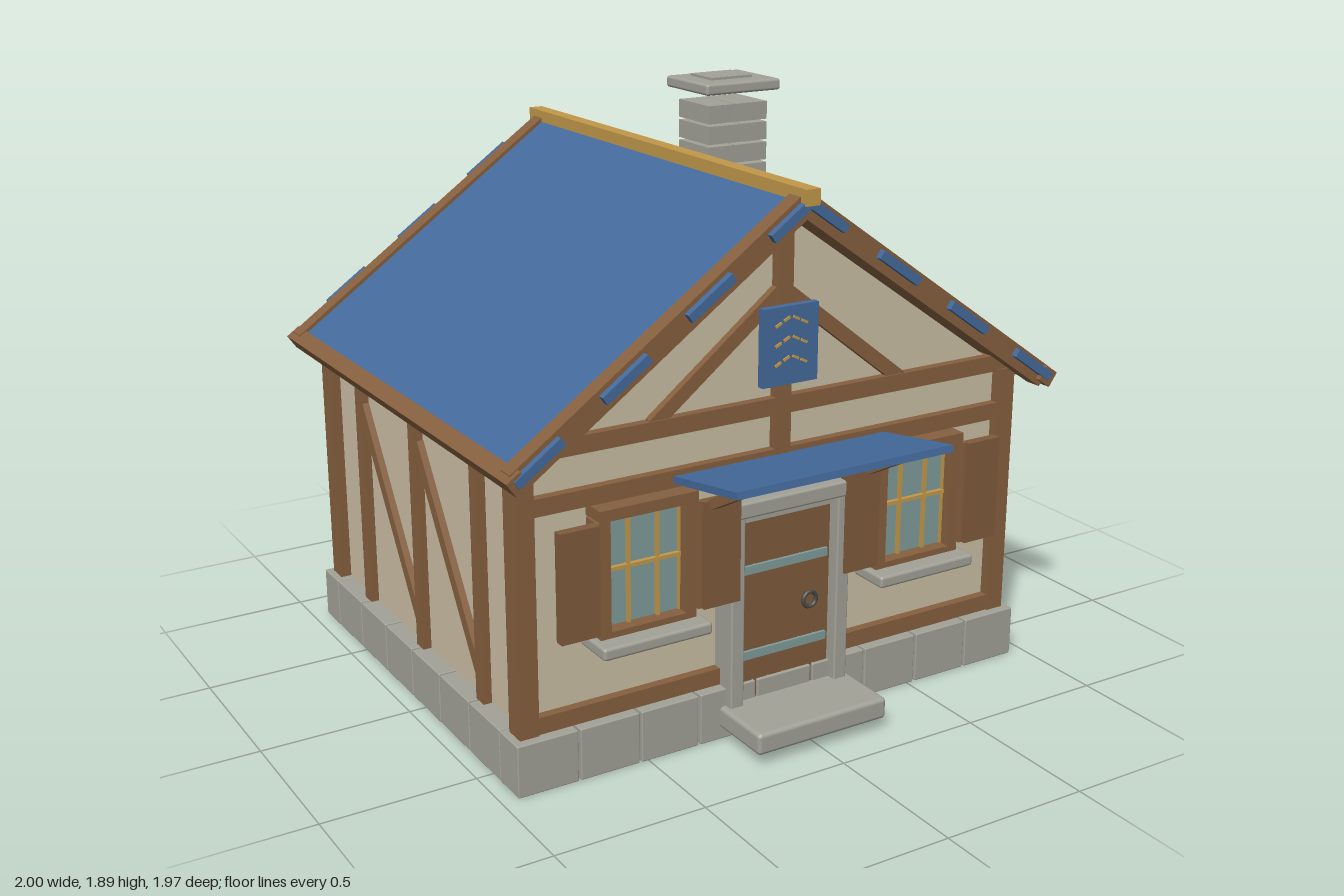
import * as THREE from 'three';
import { RoundedBoxGeometry } from 'three/addons/geometries/RoundedBoxGeometry.js';

const mat = (name, color) => {
  const m = new THREE.MeshStandardMaterial({ color });
  m.name = name;
  return m;
};

export function createModel() {
  const plaster = mat('plaster', 0xcbbfa4);
  const timber = mat('timber', 0x86603f);
  const plankWood = mat('plankWood', 0x7f5a3b);
  const roofBlue = mat('roofBlue', 0x446a9c);
  const stone = mat('stone', 0xa2a298);
  const gold = mat('gold', 0xc2984a);
  const glass = mat('glass', 0x7f9d9b);
  const iron = mat('iron', 0x4a4a46);

  const house = new THREE.Group();
  house.name = 'cottage';
  const MID = -0.095; // middle of the house along z

  const add = (name, geo, material, parent = house) => {
    const m = new THREE.Mesh(geo, material);
    m.name = name;
    parent.add(m);
    return m;
  };
  // Box given by its limits on each axis
  const box = (name, material, x0, x1, y0, y1, z0, z1, parent = house, round = 0) => {
    const s = [x1 - x0, y1 - y0, z1 - z0];
    const geo = round ? new RoundedBoxGeometry(...s, 2, round) : new THREE.BoxGeometry(...s);
    const m = add(name, geo, material, parent);
    m.position.set((x0 + x1) / 2, (y0 + y1) / 2, (z0 + z1) / 2);
    return m;
  };
  // Straight timber between two points
  const beam = (name, material, p, q, w, d, parent = house) => {
    const a = new THREE.Vector3(...p), b = new THREE.Vector3(...q);
    const m = add(name, new THREE.BoxGeometry(w, a.distanceTo(b), d), material, parent);
    m.position.copy(a).add(b).multiplyScalar(0.5);
    m.quaternion.setFromUnitVectors(new THREE.Vector3(0, 1, 0), b.sub(a).normalize());
    return m;
  };
  const group = (name) => {
    const g = new THREE.Group();
    g.name = name;
    house.add(g);
    return g;
  };

  // Plastered walls with both gables
  const outline = new THREE.Shape([[-0.885, 0.1], [0.885, 0.1], [0.885, 1.03], [0, 1.65], [-0.885, 1.03]]
    .map(([x, y]) => new THREE.Vector2(x, y)));
  add('walls', new THREE.ExtrudeGeometry(outline, { depth: 1.41, bevelEnabled: false }), plaster)
    .position.z = -0.8;

  // Ring of foundation stones
  const foundation = group('foundation');
  for (let i = 0; i < 9; i++) {
    const x = -0.95 + i * 1.9 / 9;
    for (const z of [0.555, -0.86])
      box('foundationStone', stone, x + 0.004, x + 0.207, 0, 0.17, z, z + 0.12, foundation, 0.004);
  }
  for (let i = 0; i < 6; i++) {
    const z = -0.74 + i * 1.295 / 6;
    for (const x of [-0.945, 0.825])
      box('foundationStone', stone, x, x + 0.12, 0, 0.17, z + 0.004, z + 0.212, foundation, 0.004);
  }

  // Timbers of the front and back walls
  const frame = group('timberFrame');
  for (const [z, front] of [[0.61, true], [-0.8, false]]) {
    const z0 = z - 0.03, z1 = z + 0.03;
    box('sillBeam', timber, -0.87, 0.87, 0.17, 0.225, z0, z1, frame);
    box('middleBeam', timber, -0.87, 0.87, 0.86, 0.915, z0, z1, frame);
    box('tieBeam', timber, -0.89, 0.89, 1.025, 1.08, z0, z1, frame);
    box('kingPost', timber, -0.027, 0.027, front ? 0.75 : 0.2, 1.64, z0 - 0.005, z1 + 0.005, frame);
    for (const s of [-1, 1]) {
      box('cornerPost', timber, s * 0.89 - 0.032, s * 0.89 + 0.032, 0.17, 1.03, z - 0.036, z + 0.036, frame);
      beam('gableBrace', timber, [s * 0.455, 1.065, z], [0, 1.42, z], 0.045, 0.05, frame);
    }
  }
  // Timbers of the side walls
  for (const s of [-1, 1]) {
    const x = s * 0.885;
    for (const z of [0.355, -0.095, -0.535])
      box('sidePost', timber, x - 0.028, x + 0.028, 0.17, 1.04, z - 0.026, z + 0.026, frame);
    for (const z of [0.34, -0.108])
      beam('sideBrace', timber, [x, 0.25, z], [x, 0.88, z - 0.42], 0.045, 0.042, frame);
  }

  // Roof slopes, laid out along the pitch from the ridge
  const pitch = Math.atan(0.704);
  for (const s of [-1, 1]) {
    const slope = group(s > 0 ? 'leftRoofSlope' : 'rightRoofSlope');
    slope.position.y = 1.737;
    slope.rotation.z = -s * pitch;
    const lay = (name, material, u0, u1, v0, v1, z0, z1) =>
      box(name, material, Math.min(s * u0, s * u1), Math.max(s * u0, s * u1), v0, v1, z0, z1, slope);
    lay('roofCover', roofBlue, 0, 1.195, -0.045, -0.012, -0.89, 0.7);
    lay('soffit', timber, 0, 1.195, -0.062, -0.045, -0.89, 0.7);
    for (const z of [-0.935, 0.688]) lay('bargeBoard', timber, 0, 1.2, -0.072, 0, z, z + 0.058);
    lay('eaveBeam', timber, 1.172, 1.225, -0.058, -0.004, -0.952, 0.763);
    // Staggered shingle courses that show past the gables
    for (let i = 0; i < 7; i++) {
      const shift = i % 2 ? -0.028 : 0;
      lay('shingleCourse', roofBlue, i * 0.171, i * 0.171 + 0.18, -0.043, -0.014, -0.955 + shift, 0.768 + shift);
    }
  }
  box('ridgeBeam', gold, -0.025, 0.025, 1.695, 1.745, -0.97, 0.775);

  // Chimney of loosely stacked stones with a cap
  const chimney = group('chimney');
  for (let i = 0; i < 7; i++) {
    const y = 1.305 + i * 0.0722, seam = 0.473 + (i % 2 ? 0.012 : -0.012);
    box('chimneyStone', stone, 0.353, seam - 0.002, y, y + 0.063, -0.545, -0.347, chimney);
    box('chimneyStone', stone, seam + 0.002, 0.594, y, y + 0.063, -0.545, -0.347, chimney);
  }
  box('chimneyCap', stone, 0.32, 0.625, 1.843, 1.883, -0.58, -0.308, chimney, 0.01);
  box('chimneyTop', stone, 0.388, 0.555, 1.87, 1.892, -0.525, -0.385, chimney);

  // Door with planks, stone surround, straps, ring and step
  const door = group('door');
  for (let i = 0; i < 6; i++) {
    const x = -0.172 + i * 0.0573;
    box('doorPlank', plankWood, x + 0.002, x + 0.0553, 0.1, 0.718, 0.6, 0.665, door);
  }
  for (const s of [-1, 1])
    box('doorJamb', stone, s * 0.197 - 0.024, s * 0.197 + 0.024, 0.08, 0.76, 0.6, 0.705, door, 0.006);
  box('doorLintel', stone, -0.22, 0.22, 0.738, 0.79, 0.6, 0.71, door, 0.008);
  box('innerLintel', stone, -0.175, 0.175, 0.715, 0.74, 0.6, 0.685, door);
  for (const y of [0.55, 0.262])
    box('hingeStrap', glass, -0.157, 0.157, y - 0.014, y + 0.014, 0.66, 0.675, door);
  add('doorRing', new THREE.TorusGeometry(0.025, 0.007, 8, 20), iron, door).position.set(0.09, 0.403, 0.677);
  box('doorStep', stone, -0.242, 0.242, 0.04, 0.112, 0.66, 0.895, house, 0.014);

  // Windows with shutters
  for (const s of [-1, 1]) {
    const win = group(s > 0 ? 'leftWindow' : 'rightWindow');
    win.position.x = s * 0.505;
    box('windowPane', glass, -0.13, 0.13, 0.46, 0.83, 0.6, 0.645, win);
    for (const t of [-1, 1]) {
      box('windowJamb', timber, t * 0.147 - 0.018, t * 0.147 + 0.018, 0.45, 0.83, 0.6, 0.69, win);
      box('shutter', plankWood, t * 0.243 - 0.065, t * 0.243 + 0.065, 0.478, 0.825, 0.682, 0.714, win);
      box('shutterHinge', timber, t * 0.172 - 0.006, t * 0.172 + 0.006, 0.478, 0.825, 0.63, 0.7, win);
      box('glazingBar', gold, t * 0.05 - 0.005, t * 0.05 + 0.005, 0.465, 0.825, 0.64, 0.658, win);
      box('edgeBar', gold, t * 0.127 - 0.004, t * 0.127 + 0.004, 0.465, 0.825, 0.64, 0.655, win);
    }
    box('windowHead', timber, -0.168, 0.168, 0.824, 0.86, 0.6, 0.697, win);
    box('windowFoot', timber, -0.165, 0.165, 0.448, 0.47, 0.6, 0.69, win);
    box('crossBar', gold, -0.13, 0.13, 0.648, 0.66, 0.64, 0.66, win);
    box('windowSill', stone, -0.188, 0.188, 0.41, 0.45, 0.6, 0.75, win, 0.01);
  }

  // Canopy over the door and its brackets
  beam('canopy', roofBlue, [0, 0.885, 0.635], [0, 0.945, 0.982], 0.78, 0.023);
  for (const s of [-1, 1])
    beam('canopyBracket', timber, [s * 0.29, 0.78, 0.65], [s * 0.29, 0.9, 0.87], 0.036, 0.03);

  // Hanging sign with dashed chevrons
  const sign = group('sign');
  box('signBoard', roofBlue, -0.1, 0.1, 1.13, 1.375, 0.65, 0.675, sign);
  for (const y of [1.345, 1.283, 1.222])
    for (const s of [-1, 1])
      for (const d of [0.006, 0.036])
        beam('chevronDash', gold, [s * d, y - d * 0.5, 0.676], [s * (d + 0.022), y - (d + 0.022) * 0.5, 0.676],
          0.008, 0.008, sign);

  return house;
}
